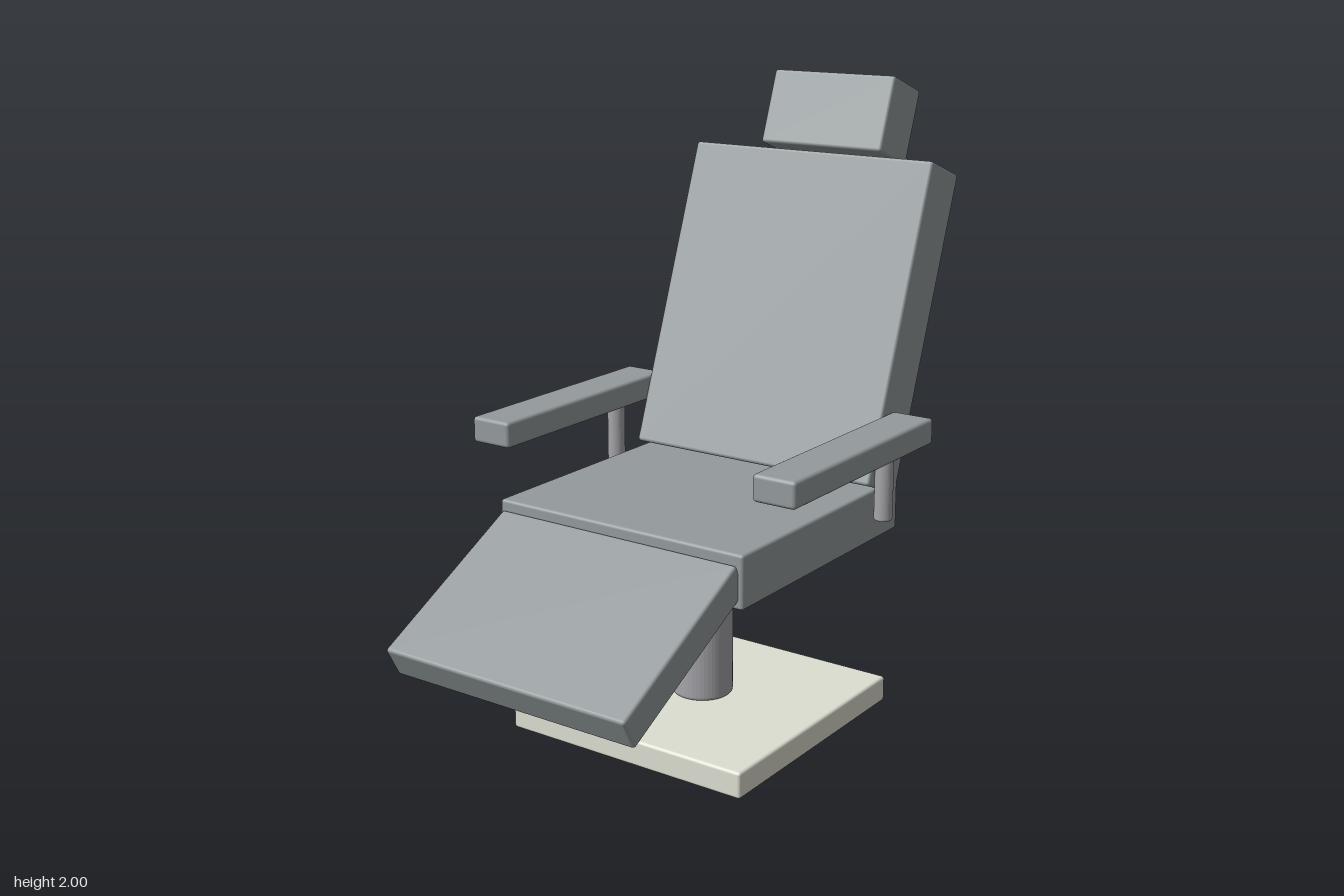
import * as THREE from 'three';
import { RoundedBoxGeometry } from 'three/addons/geometries/RoundedBoxGeometry.js';

const DEG = Math.PI / 180;
const CENTRE_Z = -0.024; // axis shared by base, column and seat

export function createModel() {
  const chair = new THREE.Group();
  chair.name = 'recliningChair';

  const upholstery = new THREE.MeshStandardMaterial({ color: 0x949b9d });
  const metal = new THREE.MeshStandardMaterial({ color: 0xa6a6ab });
  const enamel = new THREE.MeshStandardMaterial({ color: 0xdedfd2 });

  function add(name, geometry, material, x, y, z, tilt = 0) {
    const mesh = new THREE.Mesh(geometry, material);
    mesh.name = name;
    mesh.position.set(x, y, z);
    mesh.rotation.x = tilt * DEG;
    chair.add(mesh);
    return mesh;
  }

  // Softly rounded block
  const block = (w, h, d, r = 0.01) => new RoundedBoxGeometry(w, h, d, 3, r);

  // Upright rod with small bevelled ends, centred on its height
  function rod(radius, height, bevel) {
    const h = height / 2;
    const shape = new THREE.Shape();
    shape.absarc(0, 0, radius - bevel, 0, Math.PI * 2);
    const geometry = new THREE.ExtrudeGeometry(shape, {
      depth: height - 2 * bevel, curveSegments: 24,
      bevelEnabled: true, bevelSize: bevel, bevelThickness: bevel, bevelSegments: 3,
    });
    return geometry.translate(0, 0, bevel - h).rotateX(-Math.PI / 2);
  }

  // Pedestal
  add('basePlate', block(0.864, 0.085, 0.86), enamel, 0, 0.0425, CENTRE_Z);
  add('column', rod(0.098, 0.515, 0.01), metal, 0, 0.3425, CENTRE_Z);

  // Cushions
  add('seat', block(0.896, 0.167, 0.89), upholstery, 0, 0.683, CENTRE_Z);
  add('backrest', block(0.896, 1.033, 0.19), upholstery, 0, 1.241, -0.545, -20);
  add('headrest', block(0.456, 0.25, 0.187), upholstery, 0, 1.851, -0.819, -20);
  add('footrest', block(0.864, 0.107, 0.6), upholstery, 0, 0.55, 0.668, 28);

  // Armrests, each on a short post
  for (const [side, s] of [['left', 1], ['right', -1]]) {
    add(side + 'Armrest', block(0.143, 0.083, 0.806, 0.012), upholstery, s * 0.519, 0.956, CENTRE_Z);
    add(side + 'ArmPost', rod(0.029, 0.23, 0.006), metal, s * 0.517, 0.815, -0.255);
  }

  return chair;
}
